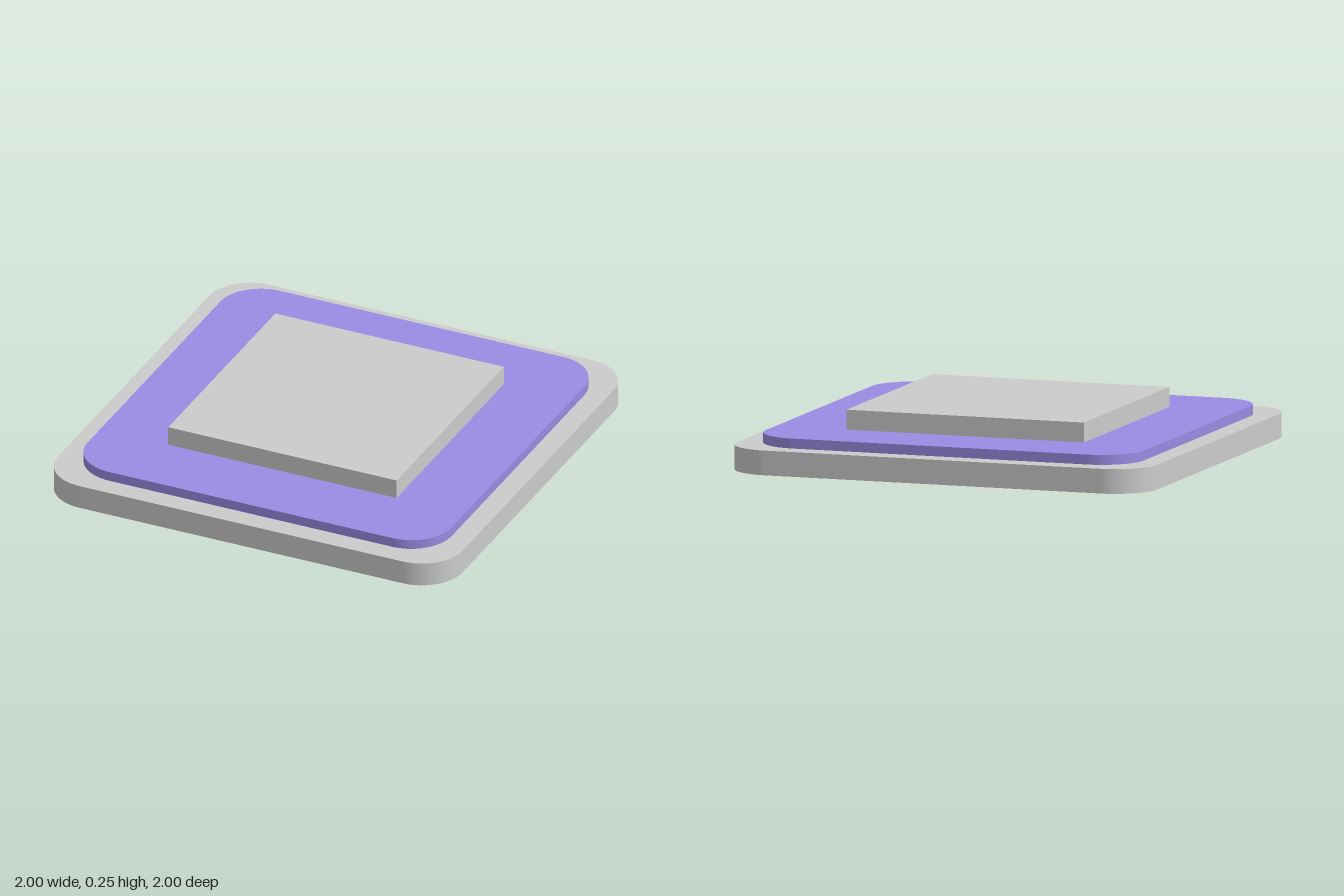
import * as THREE from 'three';

// Square plate with rounded corners, lying flat with its underside at y
function roundedPlate(name, half, radius, y, height, material) {
  const s = new THREE.Shape();
  const c = half - radius;
  s.absarc(c, c, radius, 0, Math.PI / 2);
  s.absarc(-c, c, radius, Math.PI / 2, Math.PI);
  s.absarc(-c, -c, radius, Math.PI, Math.PI * 1.5);
  s.absarc(c, -c, radius, Math.PI * 1.5, Math.PI * 2);
  s.closePath();
  const geometry = new THREE.ExtrudeGeometry(s, { depth: height, bevelEnabled: false, curveSegments: 10 });
  geometry.rotateX(-Math.PI / 2);
  const mesh = new THREE.Mesh(geometry, material);
  mesh.name = name;
  mesh.position.y = y;
  return mesh;
}

export function createModel() {
  const group = new THREE.Group();
  group.name = 'steppedPlatform';
  const grey = new THREE.MeshStandardMaterial({ color: 0xcccccc });
  const purple = new THREE.MeshStandardMaterial({ color: 0x9a8be3 });

  // Wide base and the coloured pad on top of it
  group.add(roundedPlate('base', 1, 0.2, 0, 0.112, grey));
  group.add(roundedPlate('colouredPad', 0.9, 0.2, 0.112, 0.045, purple));

  // Sharp-edged square block in the middle
  const block = new THREE.Mesh(new THREE.BoxGeometry(1.13, 0.09, 1.13), grey);
  block.name = 'centreBlock';
  block.position.y = 0.157 + 0.045;
  group.add(block);

  return group;
}
